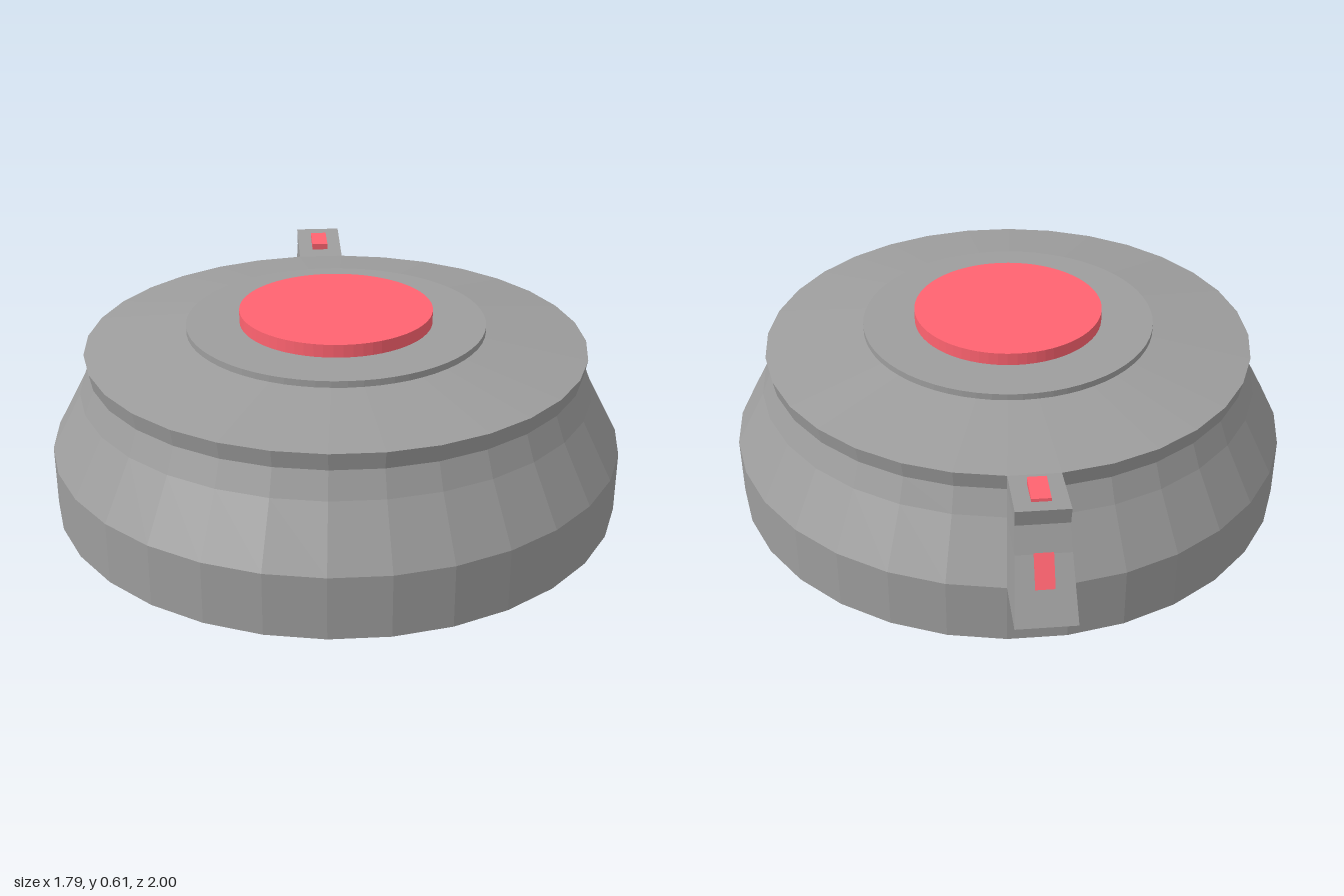
import * as THREE from 'three';

const SIDES = 32;
const AXIS_Z = 0.105;
// side wall profile of the base: radius, height
const WALL = [[0.895, 0.193], [0.8, 0.37], [0.77, 0.447], [0.78, 0.5]];

const grey = new THREE.MeshStandardMaterial({ color: 0x9d9d9d, flatShading: true });
const red = new THREE.MeshStandardMaterial({ color: 0xff6370, flatShading: true });

function add(parent, name, geometry, material, x = 0, y = 0, z = 0) {
  const mesh = new THREE.Mesh(geometry, material);
  mesh.name = name;
  mesh.position.set(x, y, z);
  parent.add(mesh);
  return mesh;
}

// Block extruded outward and slightly up from one facet column of the wall
function clipGeometry() {
  const half = Math.PI / SIDES;
  const geo = new THREE.BoxGeometry(1, 1, 1, 1, WALL.length - 1, 1);
  const pos = geo.attributes.position;
  for (let i = 0; i < pos.count; i++) {
    const [r, y] = WALL[Math.round((pos.getY(i) + 0.5) * (WALL.length - 1))];
    const outer = pos.getZ(i) < 0 ? 1 : 0;
    pos.setXYZ(
      i,
      Math.sign(pos.getX(i)) * r * Math.sin(half),
      y + outer * 0.035,
      -(r * Math.cos(half) + outer * 0.21)
    );
  }
  geo.computeVertexNormals();
  return geo;
}

export function createModel() {
  const model = new THREE.Group();
  model.name = 'pushButtonBase';

  // Faceted base with flared rim and shallow conical top
  const profile = [[0, 0], [0.895, 0], ...WALL, [0.465, 0.545], [0, 0.545]];
  add(model, 'base', new THREE.LatheGeometry(profile.map(p => new THREE.Vector2(...p)), SIDES),
    grey, 0, 0, AXIS_Z);

  // Raised collar and button
  add(model, 'collar', new THREE.CylinderGeometry(0.465, 0.465, 0.04, 64), grey, 0, 0.545, AXIS_Z);
  add(model, 'button', new THREE.CylinderGeometry(0.3, 0.3, 0.06, 64), red, 0, 0.575, AXIS_Z);

  // Rear clip, sitting on the facet next to the centre line
  const clip = new THREE.Group();
  clip.name = 'rearClip';
  clip.position.z = AXIS_Z;
  clip.rotation.y = Math.PI / SIDES;
  add(clip, 'clipBody', clipGeometry(), grey);
  add(clip, 'topSwitch', new THREE.BoxGeometry(0.055, 0.03, 0.11), red, 0, 0.518, -0.882)
    .rotation.x = 0.06;
  add(clip, 'rearIndicator', new THREE.BoxGeometry(0.055, 0.1, 0.012), red, 0, 0.362, -1.025)
    .rotation.x = Math.atan2(0.095, 0.177);
  model.add(clip);

  return model;
}
